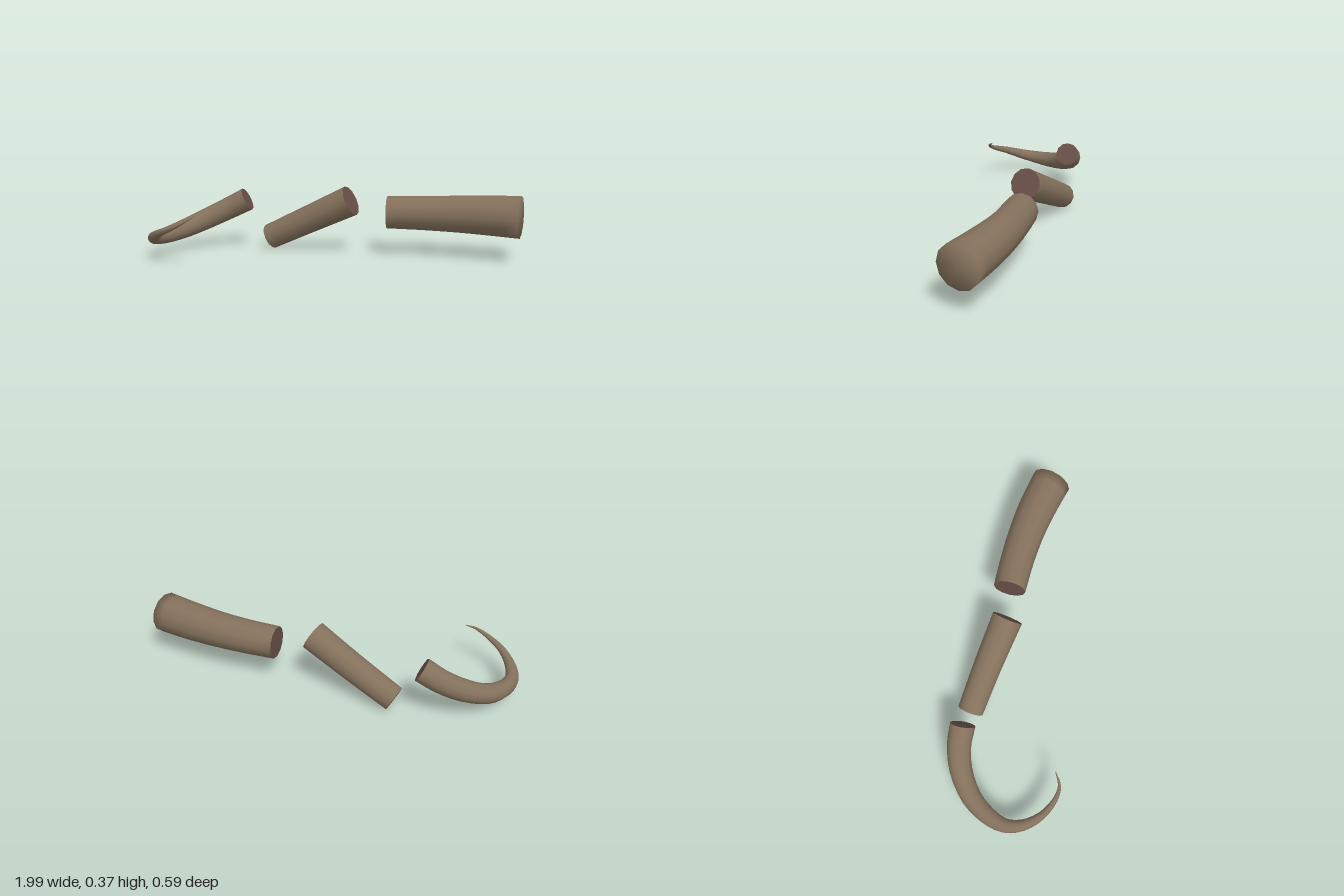
import * as THREE from 'three';

const SIDES = 12;

// Sweeps a round section along rows of [x, y, z, radius].
// Returns the shell geometry plus flat discs for both ends.
function sweep(rows, steps, roundEnd) {
  const curve = new THREE.CatmullRomCurve3(rows.map(r => new THREE.Vector3(r[0], r[1], r[2])));
  const pos = [], index = [], centres = [];
  const normal = new THREE.Vector3(0, 1, 0), side = new THREE.Vector3(), p = new THREE.Vector3();
  for (let i = 0; i <= steps; i++) {
    const t = i / steps, f = t * (rows.length - 1), k = Math.min(Math.floor(f), rows.length - 2);
    const radius = THREE.MathUtils.lerp(rows[k][3], rows[k + 1][3], f - k);
    const c = curve.getPoint(t), tangent = curve.getTangent(t);
    normal.addScaledVector(tangent, -normal.dot(tangent)).normalize();
    side.crossVectors(tangent, normal);
    centres.push(c);
    for (let j = 0; j < SIDES; j++) {
      const a = (j / SIDES) * Math.PI * 2;
      p.copy(c).addScaledVector(normal, radius * Math.cos(a)).addScaledVector(side, radius * Math.sin(a));
      pos.push(p.x, p.y, p.z);
    }
  }
  for (let i = 0; i < steps; i++) {
    for (let j = 0; j < SIDES; j++) {
      const n = (j + 1) % SIDES, a = i * SIDES + j, b = i * SIDES + n;
      index.push(a, b, a + SIDES, b, b + SIDES, a + SIDES);
    }
  }

  // flat disc closing one end
  const disc = (ring, forward) => {
    const c = centres[ring], verts = [c.x, c.y, c.z], faces = [];
    verts.push(...pos.slice(ring * SIDES * 3, (ring + 1) * SIDES * 3));
    for (let j = 0; j < SIDES; j++) {
      const a = 1 + j, b = 1 + (j + 1) % SIDES;
      faces.push(0, ...(forward ? [a, b] : [b, a]));
    }
    return build(verts, faces);
  };
  const start = disc(0, false), end = disc(steps, true);

  // far end welded into the shell, so the shading runs over its rim
  if (roundEnd) {
    const c = centres[steps], tip = pos.length / 3;
    pos.push(c.x, c.y, c.z);
    for (let j = 0; j < SIDES; j++) index.push(tip, steps * SIDES + j, steps * SIDES + (j + 1) % SIDES);
  }
  return { shell: build(pos, index), start, end };
}

function build(verts, faces) {
  const g = new THREE.BufferGeometry();
  g.setAttribute('position', new THREE.Float32BufferAttribute(verts, 3));
  g.setIndex(faces);
  g.computeVertexNormals();
  return g;
}

export function createModel() {
  const horn = new THREE.MeshStandardMaterial({ color: 0x84715c });
  horn.name = 'hornBrown';
  const cut = new THREE.MeshStandardMaterial({ color: 0x694f49 });
  cut.name = 'cutReddishBrown';

  const model = new THREE.Group();
  model.name = 'slicedHorn';

  const addPiece = (name, rows, steps, roundEnd) => {
    const piece = new THREE.Group();
    piece.name = name;
    const parts = sweep(rows, steps, roundEnd);
    const add = (label, geometry, material) => {
      const mesh = new THREE.Mesh(geometry, material);
      mesh.name = label;
      piece.add(mesh);
    };
    add(name + 'Shell', parts.shell, horn);
    add(name + 'StartCut', parts.start, cut);
    if (!roundEnd) add(name + 'EndCut', parts.end, cut);
    model.add(piece);
  };

  // thick base, cut at its inner end
  addPiece('basePiece', [
    [0.277, 0.23, -0.072, 0.088],
    [0.45, 0.231, -0.048, 0.092],
    [0.62, 0.233, -0.014, 0.098],
    [0.79, 0.235, 0.034, 0.106],
    [0.96, 0.235, 0.095, 0.112],
  ], 12, true);

  // straight middle, cut at both ends
  addPiece('middlePiece', [
    [0.08, 0.294, -0.062, 0.083],
    [-0.15, 0.178, -0.143, 0.076],
    [-0.377, 0.064, -0.215, 0.07],
  ], 8, false);

  // curled, pointed tip
  addPiece('tipPiece', [
    [-0.507, 0.275, -0.226, 0.065],
    [-0.6, 0.228, -0.236, 0.062],
    [-0.72, 0.172, -0.215, 0.059],
    [-0.84, 0.122, -0.15, 0.053],
    [-0.92, 0.1, -0.06, 0.045],
    [-0.96, 0.1, 0.03, 0.037],
    [-0.952, 0.12, 0.12, 0.029],
    [-0.9, 0.158, 0.21, 0.02],
    [-0.82, 0.195, 0.27, 0.013],
    [-0.755, 0.228, 0.284, 0.008],
    [-0.695, 0.26, 0.258, 0.002],
  ], 30, true);

  return model;
}
